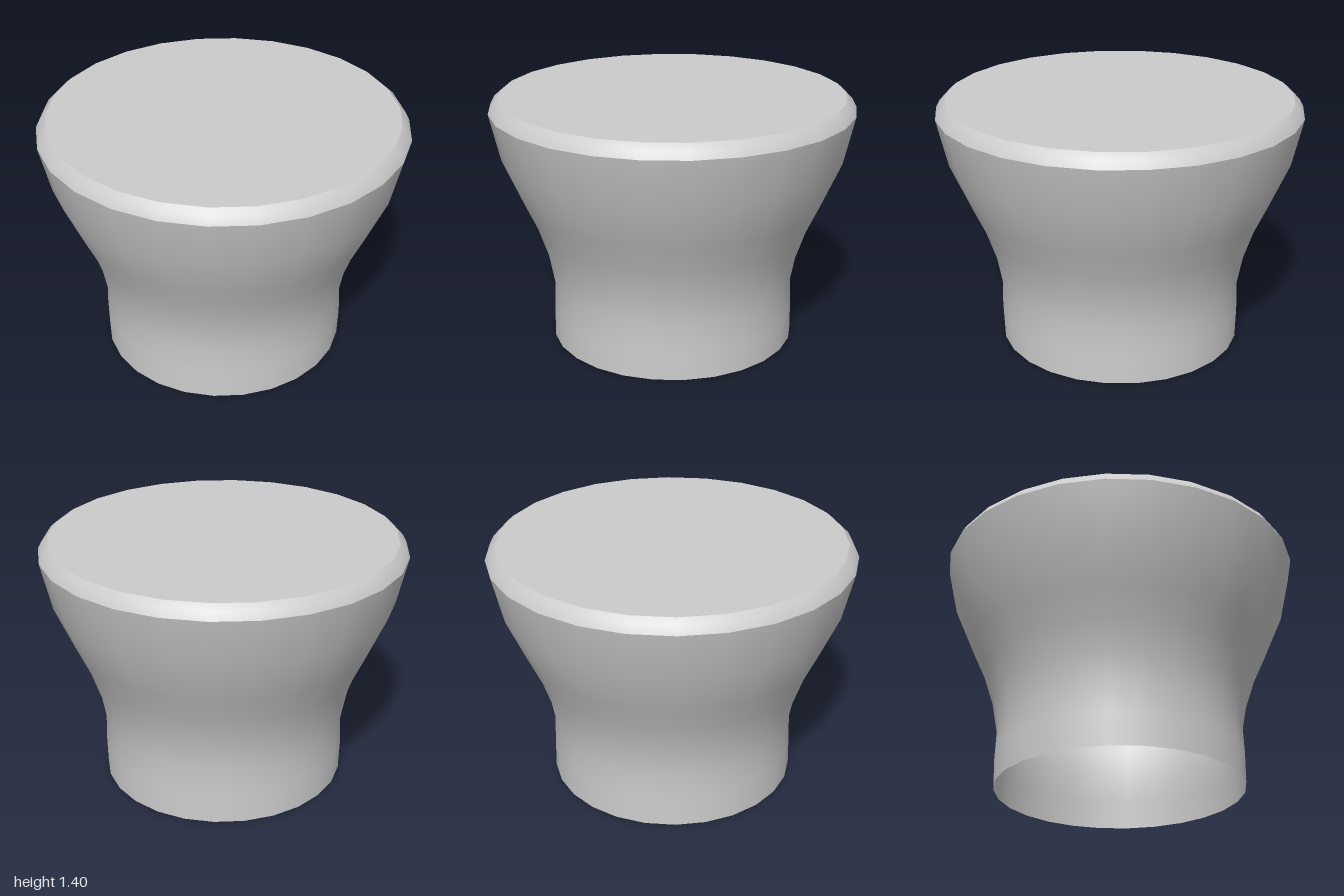
import * as THREE from 'three';

const SIDES = 26;

export function createModel() {
  const group = new THREE.Group();
  const material = new THREE.MeshStandardMaterial({ color: 0xcccccc, side: THREE.DoubleSide });

  // One turned section from [radius, height] points, smooth within itself
  const turned = (name, profile) => {
    const points = profile.map(([r, y]) => new THREE.Vector2(r, y));
    const mesh = new THREE.Mesh(new THREE.LatheGeometry(points, SIDES), material);
    mesh.name = name;
    group.add(mesh);
    return mesh;
  };

  // Flared hollow body, open at the bottom
  const body = turned('body', [
    [0.688, 0], [0.684, 0.17], [0.678, 0.33], [0.709, 0.5],
    [0.762, 0.66], [0.83, 0.81], [0.942, 1.07], [1, 1.33],
  ]);

  // The foot is very slightly narrower from side to side
  const pos = body.geometry.attributes.position;
  for (let i = 0; i < pos.count; i++) {
    if (pos.getY(i) < 0.01) pos.setX(i, pos.getX(i) * 0.985);
  }

  // Rounded bevel and flat top, split for crisp edges
  turned('rimBevel', [[1, 1.33], [0.977, 1.372], [0.945, 1.4]]);
  turned('topFace', [[0.945, 1.4], [0, 1.4]]);

  return group;
}
